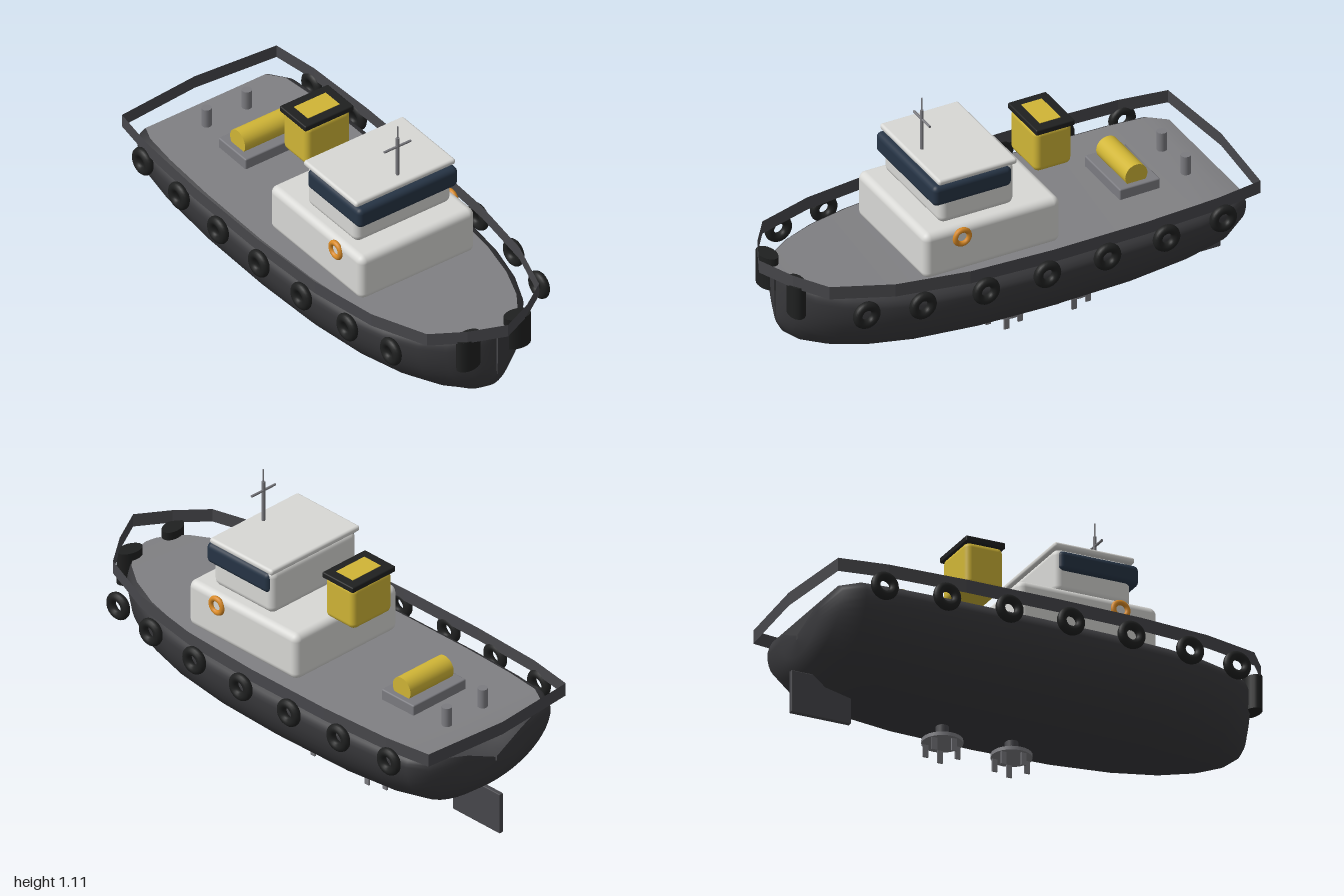
import * as THREE from 'three';
import { RoundedBoxGeometry } from 'three/addons/geometries/RoundedBoxGeometry.js';

const mat = (name, color, side = THREE.FrontSide) => {
  const m = new THREE.MeshStandardMaterial({ color, side });
  m.name = name;
  return m;
};

export function createModel() {
  const boat = new THREE.Group();
  boat.name = 'tugboat';
  const hullGrey = mat('hull charcoal', 0x39393c, THREE.DoubleSide);
  const railGrey = mat('bulwark grey', 0x47474b, THREE.DoubleSide);
  const deckGrey = mat('deck grey', 0x808083, THREE.DoubleSide);
  const white = mat('house white', 0xd8d8d5);
  const glass = mat('window navy', 0x263445);
  const yellow = mat('yellow', 0xd0b536);
  const black = mat('rubber black', 0x1f2020);
  const orange = mat('life ring orange', 0xd98a26);
  const steel = mat('steel', 0x7b7b80);

  const add = (name, geo, material, x = 0, y = 0, z = 0) => {
    const m = new THREE.Mesh(geo, material);
    m.name = name;
    m.position.set(x, y, z);
    boat.add(m);
    return m;
  };
  // rounded box given by its extents, symmetric in z
  const block = (name, x0, x1, y0, y1, halfZ, r, material) =>
    add(name, new RoundedBoxGeometry(x1 - x0, y1 - y0, halfZ * 2, 4, r), material,
      (x0 + x1) / 2, (y0 + y1) / 2, 0);
  const rod = (name, r, y0, y1, material, x, z, sides = 16) =>
    add(name, new THREE.CylinderGeometry(r, r, y1 - y0, sides), material, x, (y0 + y1) / 2, z);
  // surface through rows of equal length
  const loft = (rows) => {
    const n = rows[0].length, index = [];
    for (let i = 0; i < rows.length - 1; i++) {
      for (let j = 0; j < n - 1; j++) {
        const a = i * n + j, b = a + n;
        index.push(a, a + 1, b, b, a + 1, b + 1);
      }
    }
    const g = new THREE.BufferGeometry();
    g.setAttribute('position', new THREE.Float32BufferAttribute(rows.flat(2), 3));
    g.setIndex(index);
    g.computeVertexNormals();
    return g;
  };

  // Hull stations: x, half breadth, keel height, deck height
  const stations = [
    [-0.965, 0.005, 0.36, 0.38], [-0.955, 0.16, 0.3, 0.44], [-0.93, 0.325, 0.245, 0.475],
    [-0.85, 0.368, 0.18, 0.49], [-0.7, 0.387, 0.145, 0.488], [-0.45, 0.4, 0.122, 0.484],
    [-0.1, 0.402, 0.115, 0.48], [0.2, 0.39, 0.117, 0.48], [0.45, 0.36, 0.13, 0.482],
    [0.62, 0.315, 0.147, 0.486], [0.76, 0.25, 0.175, 0.491], [0.85, 0.18, 0.207, 0.495],
    [0.9, 0.11, 0.245, 0.498], [0.922, 0.05, 0.285, 0.5], [0.93, 0.004, 0.31, 0.5],
  ];
  const t0 = Math.acos(0.87);
  const hullRows = stations.map(([x, w, keel, top]) => {
    const yc = top - 0.16 * (top - keel);
    const row = [];
    for (let j = 0; j <= 32; j++) {
      const t = t0 - (j / 32) * (Math.PI + 2 * t0);
      const s = Math.sin(t);
      const y = s > 0 ? yc + (top - yc) * s / Math.sin(t0) : yc + (yc - keel) * s;
      row.push([x, y, w * Math.cos(t)]);
    }
    return row;
  });
  add('hull', loft(hullRows), hullGrey);
  add('deck', loft(stations.slice(2).map(([x, w, , top]) =>
    [[x, top, -0.87 * w], [x, top, 0.87 * w]])), deckGrey);

  // Bulwark ribbon: x, z, lower edge, faceted
  const rail = [[-1, 0, 0.495], [-0.97, 0.365, 0.495], [-0.77, 0.395, 0.495], [-0.45, 0.41, 0.492],
    [-0.05, 0.41, 0.49], [0.3, 0.395, 0.492], [0.6, 0.35, 0.5], [0.84, 0.265, 0.513],
    [0.93, 0.14, 0.523], [1, 0, 0.535]];
  for (const s of [1, -1]) {
    const rows = rail.map(([x, z, y]) => s > 0
      ? [[x, y + 0.055, z], [x, y, z]] : [[x, y, -z], [x, y + 0.055, -z]]);
    const g = loft(rows).toNonIndexed();
    g.computeVertexNormals();
    add(s > 0 ? 'frontBulwark' : 'backBulwark', g, railGrey);
  }

  // Tyre fenders and life rings on both sides
  const tyres = [[-0.79, 0.4], [-0.535, 0.418], [-0.275, 0.426], [-0.015, 0.426],
    [0.245, 0.418], [0.505, 0.393], [0.725, 0.35]];
  const tyreGeo = new THREE.TorusGeometry(0.039, 0.0185, 12, 28);
  const ringGeo = new THREE.TorusGeometry(0.03, 0.011, 10, 28);
  const bowGeo = new THREE.CylinderGeometry(1, 1, 0.14, 20).scale(0.034, 1, 0.056);
  for (const s of [1, -1]) {
    for (const [x, z] of tyres) add('tyreFender', tyreGeo, black, x, 0.455, s * z);
    add('lifeRing', ringGeo, orange, 0.27, 0.625, s * 0.273);
    add('bowFender', bowGeo, black, 0.902, 0.46, s * 0.115).rotation.y = s * 0.15;
    rod('bollard', 0.02, 0.48, 0.57, steel, -0.795, s * 0.095);
  }

  // Deckhouse and wheelhouse
  block('deckhouse', -0.16, 0.43, 0.47, 0.67, 0.272, 0.03, white);
  block('wheelhouse', 0.015, 0.34, 0.67, 0.858, 0.227, 0.03, white);
  block('windowBand', 0.03, 0.37, 0.76, 0.848, 0.236, 0.022, glass);
  block('roof', 0.01, 0.35, 0.852, 0.877, 0.236, 0.011, white);

  // Mast
  rod('mast', 0.007, 0.875, 1.05, steel, 0.295, 0);
  rod('antenna', 0.003, 1.05, 1.105, steel, 0.295, 0, 8);
  rod('crossbar', 0.005, -0.063, 0.063, steel, 0.295, 0).rotation.x = Math.PI / 2;
  boat.children.at(-1).position.y = 1.01;

  // Funnel
  block('funnel', -0.3, -0.14, 0.688, 0.872, 0.105, 0.025, yellow);
  block('funnelCap', -0.305, -0.138, 0.863, 0.888, 0.115, 0.006, black);
  add('funnelOpening', new THREE.BoxGeometry(0.09, 0.004, 0.15), yellow, -0.22, 0.888, 0);

  // Towing winch
  block('winchBase', -0.66, -0.485, 0.47, 0.53, 0.14, 0.006, steel);
  const drum = add('winchDrum', new THREE.CylinderGeometry(0.048, 0.048, 0.23, 28), yellow, -0.57, 0.557, 0);
  drum.rotation.x = Math.PI / 2;

  // Rudder and propulsion pods
  block('rudder', -0.993, -0.74, 0.05, 0.225, 0.01, 0.004, railGrey);
  for (const x of [-0.35, -0.057]) {
    rod('podStem', 0.026, 0.065, 0.135, railGrey, x, 0);
    rod('podDisc', 0.08, 0.051, 0.066, steel, x, 0, 28);
    for (let i = 0; i < 5; i++) {
      const a = i * Math.PI * 0.4;
      add('podBlade', new THREE.BoxGeometry(0.022, 0.054, 0.007), steel,
        x + 0.065 * Math.cos(a), 0.027, 0.065 * Math.sin(a));
    }
  }
  return boat;
}
